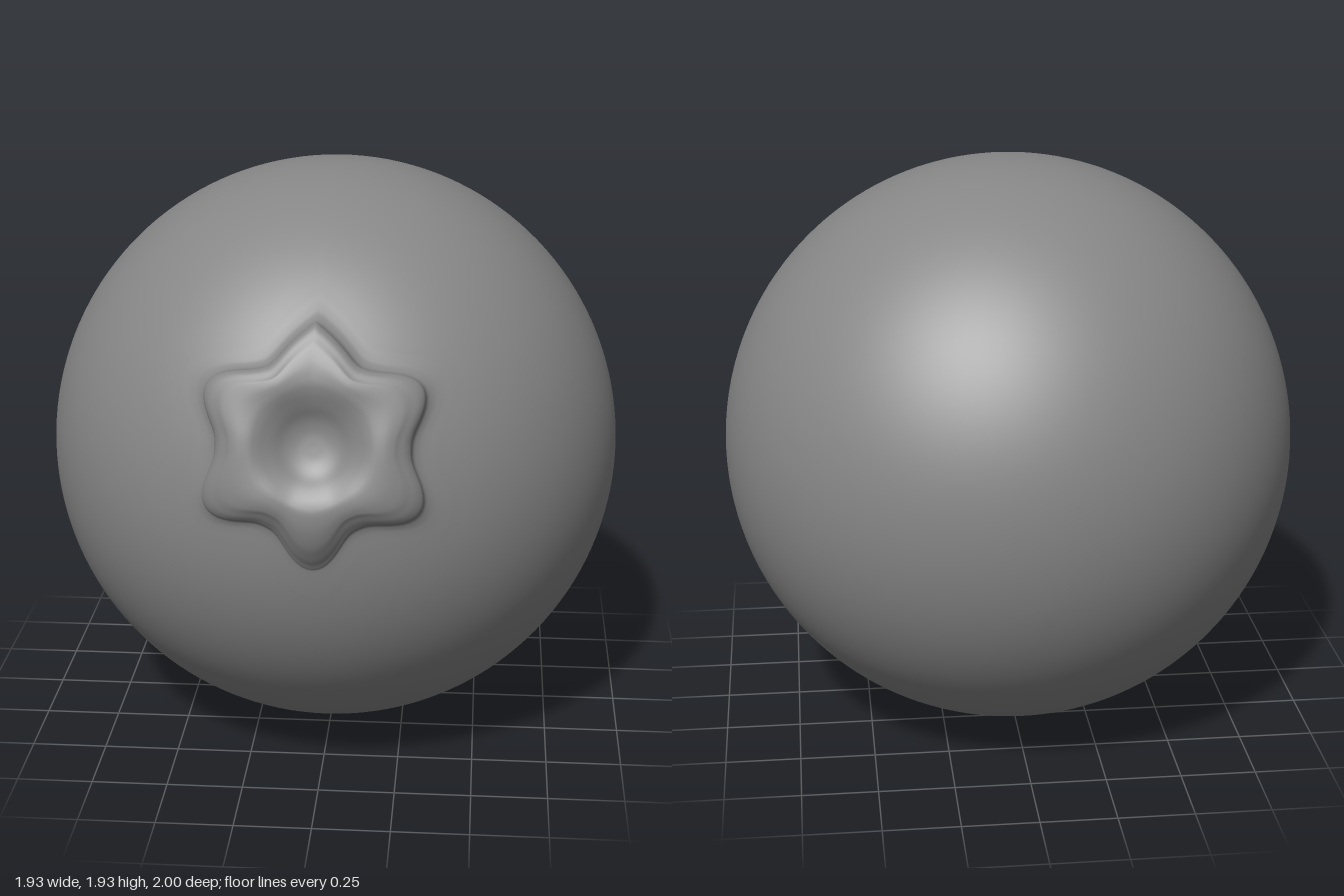
import * as THREE from 'three';

const R = 0.967;      // body radius
const TILT = 0.288;   // crown axis, raised from straight ahead
const COLS = 144;

// six-pointed outline of the crown, phi = 0 at the top tip, which is the sharpest
function star(phi) {
  const fromTip = Math.acos(Math.min(Math.abs(Math.cos(3 * phi)), 1)) / (Math.PI / 2);
  const rounded = Math.pow((1 + Math.cos(6 * phi)) / 2, 1.25);
  const pointed = Math.pow(1 - fromTip, 1.4);
  const sharpness = Math.max(0, Math.cos(phi)) ** 4;
  const valley = 0.29 - 0.01 * Math.cos(2 * phi);
  return valley + (0.382 - valley) * THREE.MathUtils.lerp(rounded, pointed, sharpness);
}

// crown profile from the centre of the dimple to the body:
// x = round radius, y = share of the star outline, z = distance from body centre
const crownProfile = new THREE.CatmullRomCurve3([
  [0, 0, 0.955], [0.045, 0, 0.959], [0.085, 0, 0.975], [0.125, 0, 1.006],
  [0.155, 0.03, 1.033], [0.13, 0.25, 1.05], [0.05, 0.65, 1.052],
  [0, 0.87, 1.046], [0, 0.95, 1.037], [0, 0.99, 1.022], [0, 0.99, 1.0],
  [0, 1.0, 0.983], [0, 1.05, 0.972], [0, 1.13, 0.968], [0, 1.25, R],
].map((p) => new THREE.Vector3(...p)));

// one continuous skin: dimple, star-shaped rim, then the round body
function berryGeometry() {
  const CROWN = 56, BODY = 64;
  const rows = CROWN + BODY;
  const positions = [0, 0.955, 0];
  const index = [];
  const at = (i, j) => 1 + (i - 1) * COLS + (j % COLS);

  for (let i = 1; i <= rows; i++) {
    const p = crownProfile.getPoint(Math.min(i / CROWN, 1));
    for (let j = 0; j < COLS; j++) {
      const phi = (j / COLS) * Math.PI * 2;
      const outline = star(phi);
      let rho = p.x + p.y * outline;
      let along;
      if (i <= CROWN) {
        // top tip stands proud, bottom tip droops into the body
        const raised = THREE.MathUtils.clamp((p.z - R) / 0.07, 0, 1);
        const edge = Math.min(rho / outline, 1) ** 3;
        const droop = 0.045 * Math.max(0, -Math.cos(phi)) ** 8;
        const rad = p.z + raised * edge * (0.02 * Math.cos(phi) - droop);
        along = Math.sqrt(rad * rad - rho * rho);
      } else {
        const start = Math.asin(rho / R);
        const angle = THREE.MathUtils.lerp(start, Math.PI, (i - CROWN) / (BODY + 1));
        rho = R * Math.sin(angle);
        along = R * Math.cos(angle);
      }
      positions.push(rho * Math.sin(phi), along, -rho * Math.cos(phi));
    }
  }
  positions.push(0, -R, 0);
  const last = 1 + rows * COLS;

  // fans close both poles, quads fill the rings between
  for (let j = 0; j < COLS; j++) {
    index.push(0, at(1, j + 1), at(1, j));
    for (let i = 1; i < rows; i++) {
      const a = at(i, j), b = at(i, j + 1), c = at(i + 1, j + 1), d = at(i + 1, j);
      index.push(a, b, c, a, c, d);
    }
    index.push(at(rows, j), at(rows, j + 1), last);
  }
  const geometry = new THREE.BufferGeometry();
  geometry.setAttribute('position', new THREE.Float32BufferAttribute(positions, 3));
  geometry.setIndex(index);
  geometry.rotateX(Math.PI / 2 - TILT);
  geometry.computeVertexNormals();
  return geometry;
}

export function createModel() {
  const group = new THREE.Group();
  group.name = 'berry';
  const material = new THREE.MeshStandardMaterial({ color: 0x868686 });
  const skin = new THREE.Mesh(berryGeometry(), material);
  skin.name = 'bodyWithStarCrown';
  skin.position.set(0, R, R - 1);
  group.add(skin);
  return group;
}
